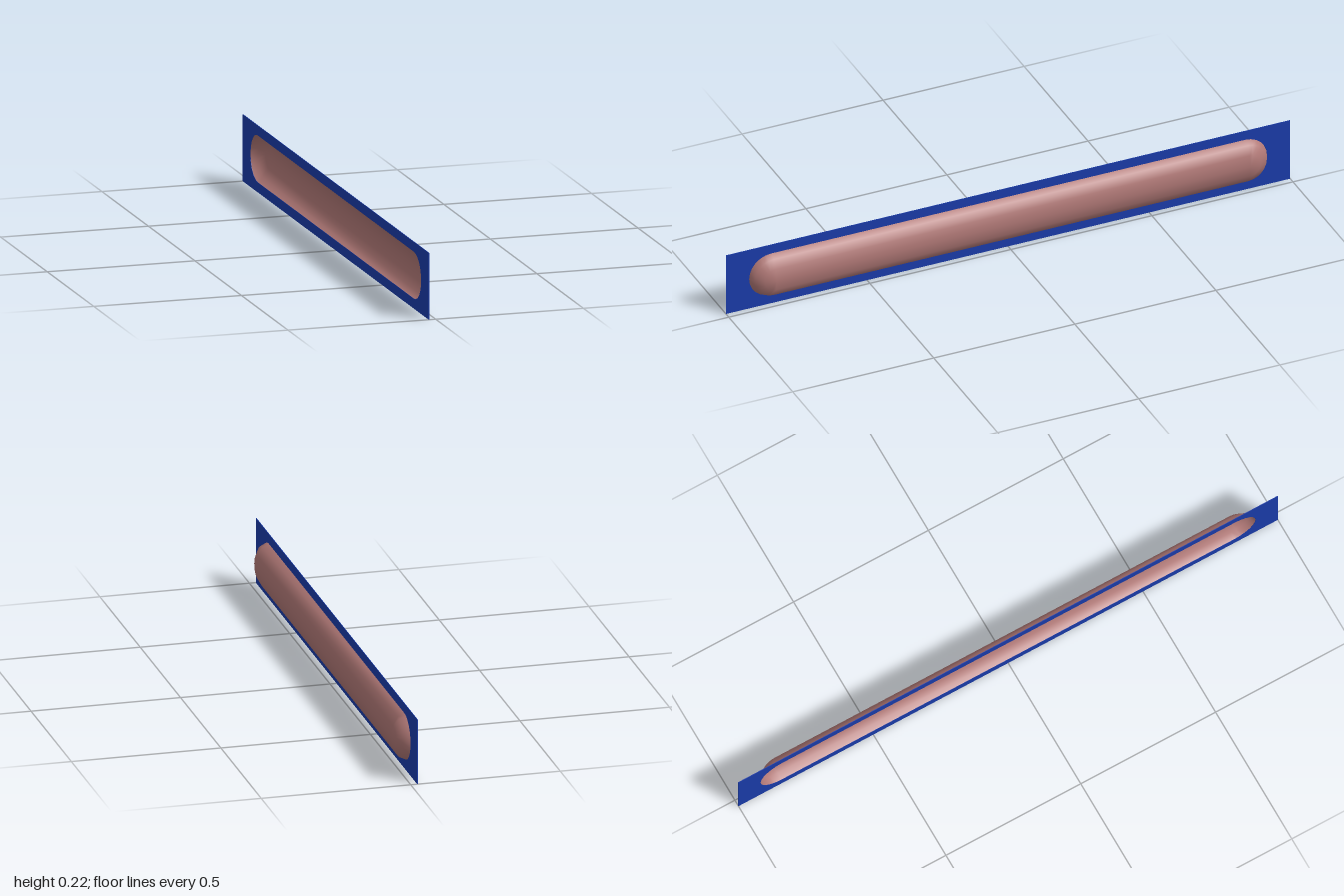
import * as THREE from 'three';

const HEIGHT = 0.222, LENGTH = 2, MID = HEIGHT / 2;
const RADIUS = 0.078, HALF = 0.84, DEPTH = 0.045, BACK = -0.0225;
const ARC = 12, RINGS = 3;

// Closed long-slot outline with rounded ends, as [z, y] offsets
function slot(r) {
  const pts = [];
  for (const side of [1, -1]) {
    for (let i = 0; i <= ARC; i++) {
      const a = -Math.PI / 2 + (i / ARC) * Math.PI;
      pts.push(new THREE.Vector2(side * (HALF + r * Math.cos(a)), side * r * Math.sin(a)));
    }
  }
  return pts;
}

// Thin rectangular plate with the slot cut out
function makePlate() {
  const w = LENGTH / 2, h = HEIGHT / 2;
  const shape = new THREE.Shape([
    new THREE.Vector2(-w, -h), new THREE.Vector2(w, -h),
    new THREE.Vector2(w, h), new THREE.Vector2(-w, h),
  ]);
  shape.holes.push(new THREE.Path(slot(RADIUS).reverse()));
  const geo = new THREE.ExtrudeGeometry(shape, { depth: 0.002, bevelEnabled: false });
  geo.rotateY(Math.PI / 2);
  geo.translate(BACK - 0.001, MID, 0);
  const mat = new THREE.MeshStandardMaterial({ color: 0x1a3caa, side: THREE.DoubleSide });
  const mesh = new THREE.Mesh(geo, mat);
  mesh.name = 'plate';
  return mesh;
}

// Hollow bulge: slot rings shrinking along a quarter ellipse to a ridge line
function makeBulge() {
  const pos = [], index = [], n = 2 * (ARC + 1);
  for (let k = 0; k < RINGS; k++) {
    const t = (k / RINGS) * Math.PI / 2;
    for (const p of slot(RADIUS * Math.cos(t))) pos.push(BACK + DEPTH * Math.sin(t), MID + p.y, -p.x);
  }
  const ridge = pos.length / 3;
  for (const s of [1, -1]) pos.push(BACK + DEPTH, MID, -s * HALF);
  for (let k = 0; k < RINGS; k++) {
    for (let i = 0; i < n; i++) {
      const j = (i + 1) % n;
      const a = k * n + i, b = k * n + j;
      const last = k === RINGS - 1;
      const c = last ? ridge + (j > ARC ? 1 : 0) : b + n;
      const d = last ? ridge + (i > ARC ? 1 : 0) : a + n;
      index.push(a, b, c);
      if (c !== d) index.push(a, c, d);
    }
  }
  const geo = new THREE.BufferGeometry();
  geo.setAttribute('position', new THREE.Float32BufferAttribute(pos, 3));
  geo.setIndex(index);
  geo.computeVertexNormals();
  const mat = new THREE.MeshStandardMaterial({ color: 0xb07876, side: THREE.DoubleSide });
  const mesh = new THREE.Mesh(geo, mat);
  mesh.name = 'bulge';
  return mesh;
}

export function createModel() {
  const group = new THREE.Group();
  group.name = 'wallPanel';
  group.add(makePlate(), makeBulge());
  return group;
}
